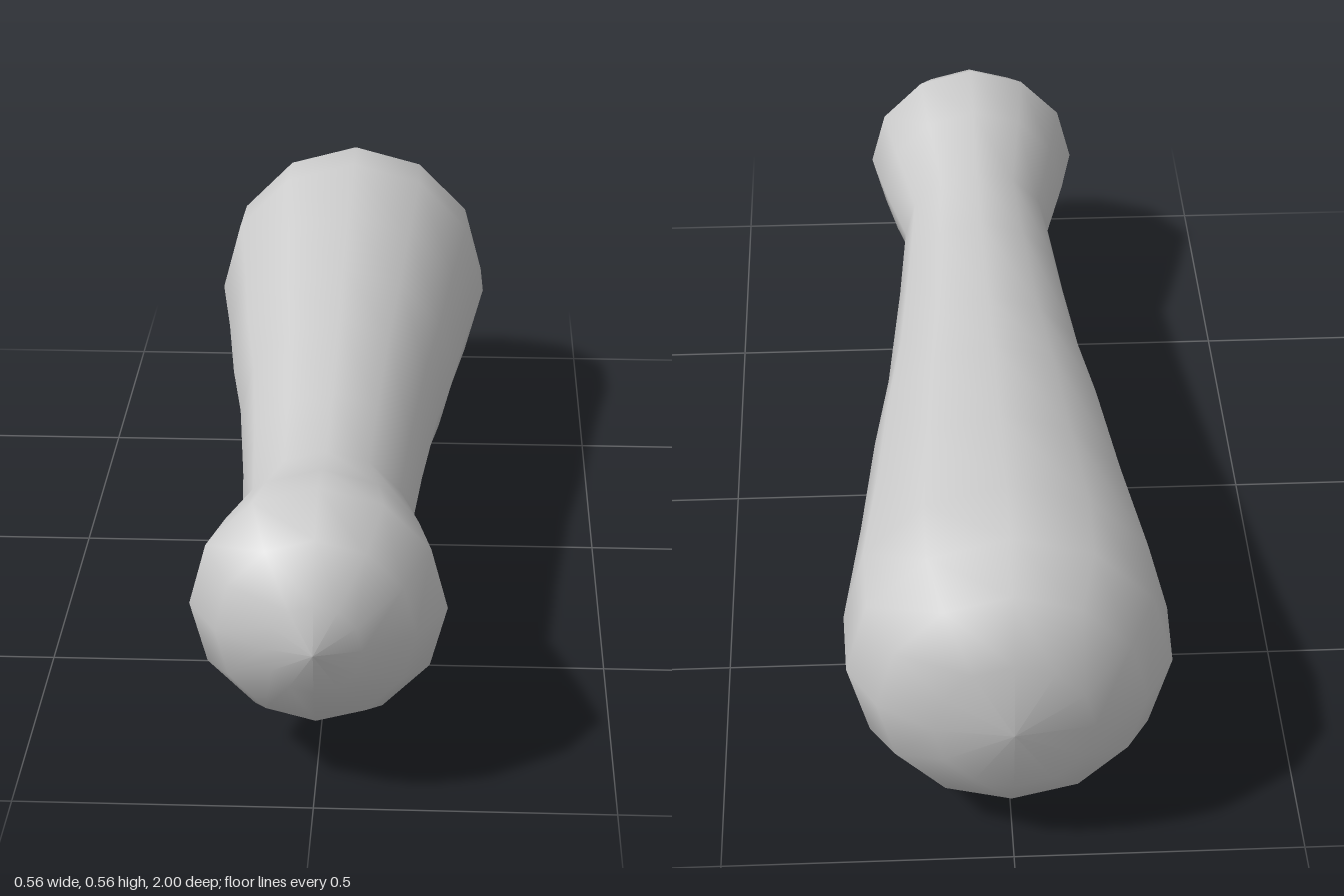
import * as THREE from 'three';

export function createModel() {
  const group = new THREE.Group();
  group.name = 'handle';

  // Profile as [radius, z], from the wide rounded back to the small front knob
  const profile = [
    [0, -1], [0.135, -0.98], [0.228, -0.915], [0.278, -0.825], [0.282, -0.69],
    [0.25, -0.45], [0.222, -0.2], [0.193, 0], [0.165, 0.3], [0.149, 0.52],
    [0.19, 0.69], [0.216, 0.82], [0.166, 0.915], [0.08, 0.977], [0, 1],
  ].map(([r, z]) => new THREE.Vector2(r, z));

  // Twelve-sided smooth turning, laid along z
  const geometry = new THREE.LatheGeometry(profile, 12);
  geometry.rotateX(Math.PI / 2);
  geometry.translate(0, 0.283, 0);

  const grip = new THREE.Mesh(geometry, new THREE.MeshStandardMaterial({ color: 0xcccccc }));
  grip.name = 'grip';
  group.add(grip);
  return group;
}
